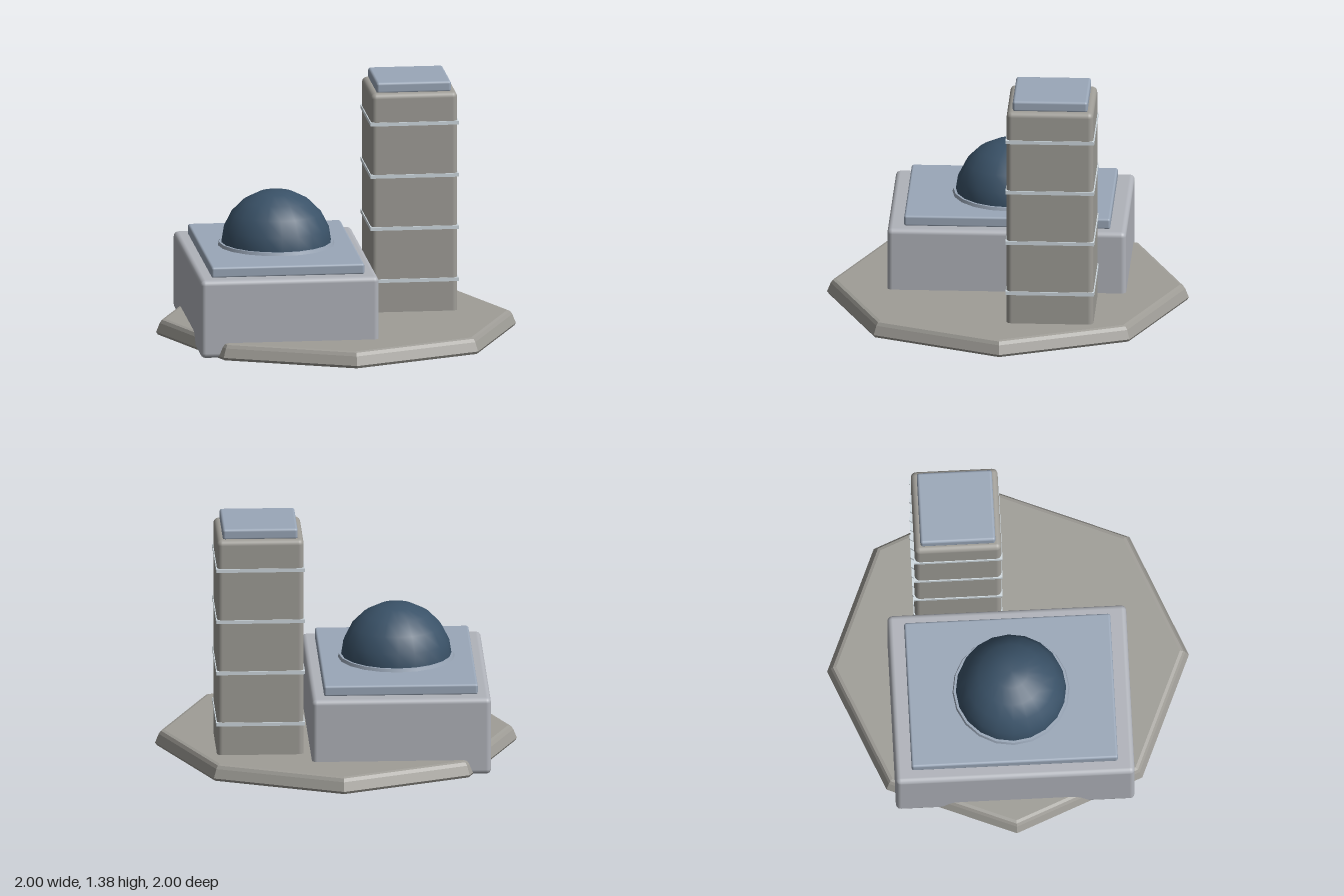
import * as THREE from 'three';
import { RoundedBoxGeometry } from 'three/addons/geometries/RoundedBoxGeometry.js';

const mat = (color, flatShading = false) => {
  const m = new THREE.MeshStandardMaterial({ color });
  m.flatShading = flatShading;
  return m;
};

export function createModel() {
  const model = new THREE.Group();
  const stone = mat(0x9f9d97);
  const wall = mat(0xb0b3ba);
  const roof = mat(0x9aa7b8);
  const glass = mat(0x3a5268);
  const trim = mat(0xd0dae0);

  const add = (name, geometry, material, x, y, z) => {
    const mesh = new THREE.Mesh(geometry, material);
    mesh.name = name;
    mesh.position.set(x, y, z);
    model.add(mesh);
    return mesh;
  };
  // Rounded block given by its centre in plan, its extents and its bottom and top
  const block = (name, material, x, z, w, d, y0, y1, r) =>
    add(name, new RoundedBoxGeometry(w, y1 - y0, d, 3, r), material, x, (y0 + y1) / 2, z);

  // Octagonal plinth with a bevelled rim
  const rim = [[0, 0], [0.99, 0], [1, 0.015], [0.98, 0.065], [0.968, 0.083], [0.95, 0.088], [0, 0.088]];
  add('plinth', new THREE.LatheGeometry(rim.map(([r, y]) => new THREE.Vector2(r, y)), 8),
    mat(0x9f9d97, true), 0, 0, 0);

  // Hall with its roof slab
  block('hall', wall, -0.333, 0, 0.99, 1.32, 0.002, 0.44, 0.028);
  block('hallRoof', roof, -0.333, 0, 0.85, 1.14, 0.435, 0.497, 0.013);

  // Dome on a low collar
  add('domeCollar', new THREE.CylinderGeometry(0.318, 0.326, 0.025, 20), roof, -0.333, 0.502, 0);
  add('dome', new THREE.SphereGeometry(0.308, 20, 5, 0, Math.PI * 2, 0, Math.PI / 2),
    glass, -0.333, 0.495, 0);

  // Tower with cap and bands
  const tx = 0.44, tz = -0.265;
  block('tower', stone, tx, tz, 0.48, 0.48, 0.01, 1.322, 0.03);
  block('towerCap', roof, tx, tz, 0.415, 0.415, 1.315, 1.378, 0.015);
  for (let i = 0; i < 4; i++) {
    add('towerBand' + (i + 1), new THREE.BoxGeometry(0.49, 0.02, 0.49), trim, tx, 0.265 + i * 0.295, tz);
  }
  return model;
}
